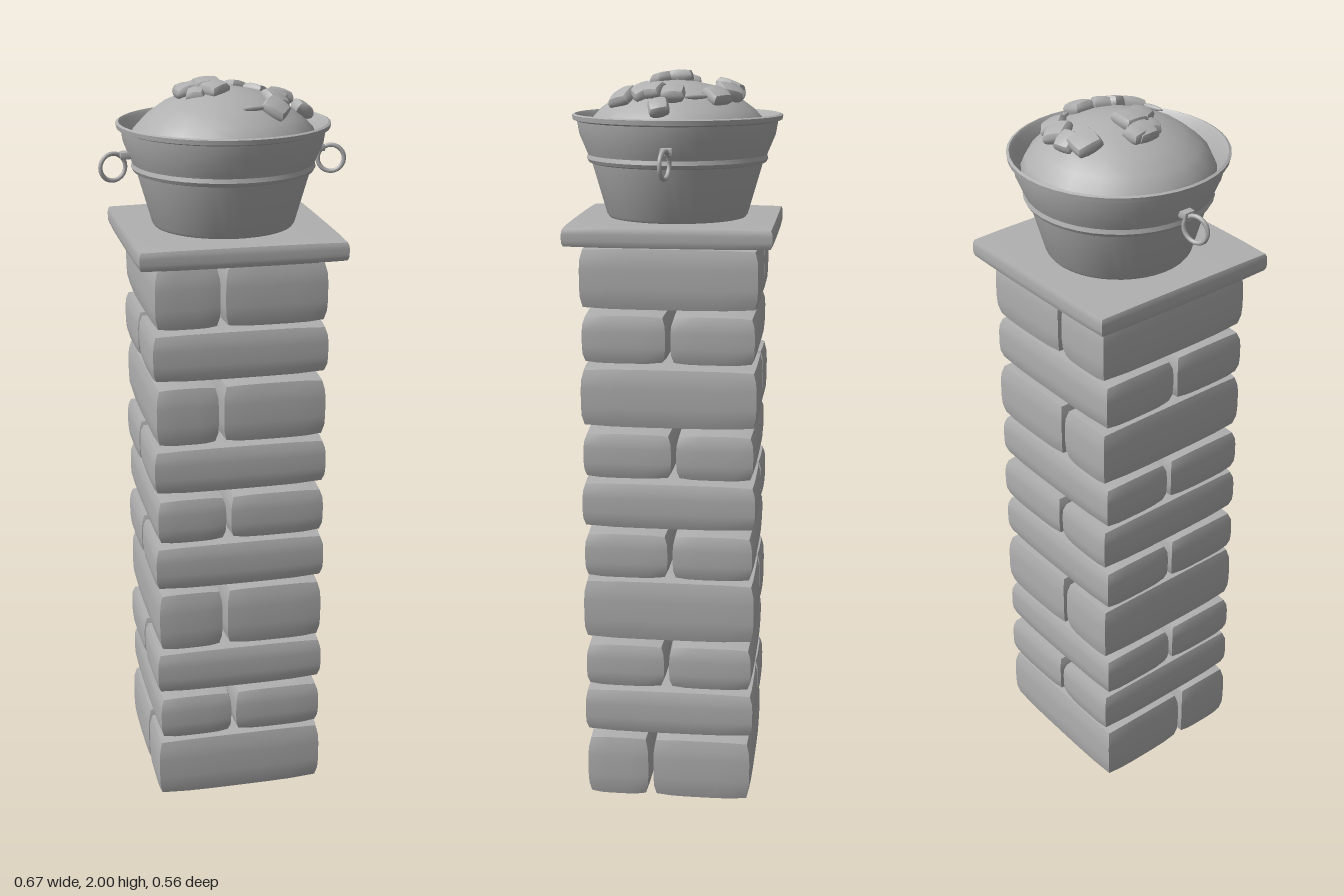
import * as THREE from 'three';
import { toCreasedNormals } from 'three/addons/utils/BufferGeometryUtils.js';

const stone = new THREE.MeshStandardMaterial({ color: 0xb0b0b0 });
stone.name = 'grey stone';

// Box with slightly swollen faces and worn edges
function wornBlock(w, h, d, wear, segments = 6) {
  const g = new THREE.BoxGeometry(2, 2, 2, segments, segments, segments);
  const p = g.attributes.position;
  for (let i = 0; i < p.count; i++) {
    const u = p.getX(i), v = p.getY(i), t = p.getZ(i);
    const [a, b, c] = [u, v, t].map((n) => n ** 4);
    p.setXYZ(i,
      u * (w / 2 - wear * (b + c * 0.4)),
      v * (h / 2 - wear * 0.5 * (a + c)),
      t * (d / 2 - wear * (b + a * 0.4)));
  }
  g.computeVertexNormals();
  return g;
}

function add(parent, name, geometry, x = 0, y = 0, z = 0) {
  const m = new THREE.Mesh(geometry, stone);
  m.name = name;
  m.position.set(x, y, z);
  parent.add(m);
  return m;
}

function lathe(points, sides) {
  const profile = points.map(([r, y]) => new THREE.Vector2(r, y));
  return toCreasedNormals(new THREE.LatheGeometry(profile, sides), 0.6);
}

export function createModel() {
  const model = new THREE.Group();
  model.name = 'brickPillarWithBucket';

  // Brick courses: bottom, top, position of the joint; joints alternate between z and x
  const courses = [
    [0.0, 0.18, 0.05], [0.19, 0.322, -0.02], [0.332, 0.46, 0.005], [0.47, 0.645, -0.045],
    [0.652, 0.783, -0.005], [0.793, 0.925, -0.035], [0.935, 1.065, -0.015],
    [1.075, 1.24, -0.055], [1.25, 1.385, 0], [1.393, 1.56, -0.05],
  ];
  const pillar = new THREE.Group();
  pillar.name = 'pillar';
  model.add(pillar);
  courses.forEach(([y0, y1, joint], i) => {
    const alongZ = i % 2 === 0;
    const end = 0.231, gap = 0.004, full = 0.474;
    for (const [from, to] of [[-end, joint - gap], [joint + gap, end]]) {
      const size = to - from, mid = (from + to) / 2, h = y1 - y0;
      const g = alongZ ? wornBlock(full, h, size, 0.008) : wornBlock(size, h, full, 0.008);
      add(pillar, 'brick', g, alongZ ? 0 : mid, (y0 + y1) / 2, alongZ ? mid : 0);
    }
  });

  // Cap slab
  add(model, 'capSlab', wornBlock(0.546, 0.055, 0.546, 0.004), 0, 1.59, 0);

  // Bucket with bead and flared rim
  const bucket = new THREE.Group();
  bucket.name = 'bucket';
  model.add(bucket);
  add(bucket, 'bucketBody', lathe([
    [0, 1.617], [0.184, 1.617], [0.19, 1.625], [0.229, 1.76], [0.238, 1.763],
    [0.243, 1.772], [0.24, 1.783], [0.243, 1.79], [0.262, 1.835], [0.268, 1.87],
    [0.279, 1.874], [0.281, 1.886], [0.274, 1.889], [0.268, 1.882],
    [0.25, 1.84], [0.235, 1.79], [0, 1.79],
  ], 40));

  // Ring handles and their lugs
  for (const side of [-1, 1]) {
    const ring = add(bucket, 'ringHandle', new THREE.TorusGeometry(0.035, 0.006, 8, 24),
      side * 0.293, 1.778, 0.001);
    ring.rotation.y = -side * 0.25;
    add(bucket, 'handleLug', wornBlock(0.04, 0.02, 0.035, 0.002, 2), side * 0.255, 1.808, 0);
  }

  // Heaped filling
  add(model, 'heap', lathe([
    [0.246, 1.8], [0.246, 1.845], [0.235, 1.87], [0.205, 1.902], [0.16, 1.934],
    [0.1, 1.96], [0.05, 1.971], [0, 1.975],
  ], 18));

  // Lumps on the heap: x, y, z, size, turn, tilt x, tilt z
  const lumps = [
    [-0.04, 1.955, -0.138, 0.072, -0.2, -0.35, 0.1],
    [0.008, 1.945, -0.153, 0.058, 0.1, -0.6, 0],
    [0.062, 1.947, -0.142, 0.064, 0.5, -0.4, -0.2],
    [0.115, 1.94, -0.115, 0.062, -0.75, -0.3, -0.35],
    [-0.098, 1.966, -0.005, 0.062, 0.05, 0, 0.3],
    [-0.045, 1.981, -0.002, 0.07, 0.03, 0.05, 0.08],
    [-0.033, 1.976, 0.04, 0.062, 0.6, 0.2, 0.1],
    [-0.078, 1.962, 0.035, 0.05, -0.4, 0.2, 0.2],
    [-0.1, 1.966, -0.028, 0.05, 0.1, -0.1, 0.2],
    [0.153, 1.947, -0.005, 0.062, 0.03, 0, -0.3],
    [0.205, 1.915, 0.026, 0.054, 0.15, 0.1, -0.6],
    [0.128, 1.952, 0.05, 0.058, -0.4, 0.25, -0.3],
    [0.12, 1.949, 0.076, 0.062, 0.3, 0.3, -0.4],
    [0.108, 1.935, 0.13, 0.066, -0.6, 0.5, -0.3],
  ];
  const heapLumps = new THREE.Group();
  heapLumps.name = 'lumps';
  model.add(heapLumps);
  for (const [x, y, z, s, turn, tx, tz] of lumps) {
    const lump = add(heapLumps, 'lump', wornBlock(s, 0.036, s, 0.005, 3), x, y, z);
    lump.rotation.set(tx, turn, tz, 'XZY');
  }

  // Thin slivers poking out of the heap
  for (const [x, y, z, turn] of [[0.145, 1.939, -0.065, -1.1], [0.05, 1.941, 0.148, 0.25]]) {
    const sliver = add(heapLumps, 'sliver', new THREE.SphereGeometry(1, 10, 6), x, y, z);
    sliver.scale.set(0.035, 0.007, 0.007);
    sliver.rotation.y = turn;
  }
  return model;
}
